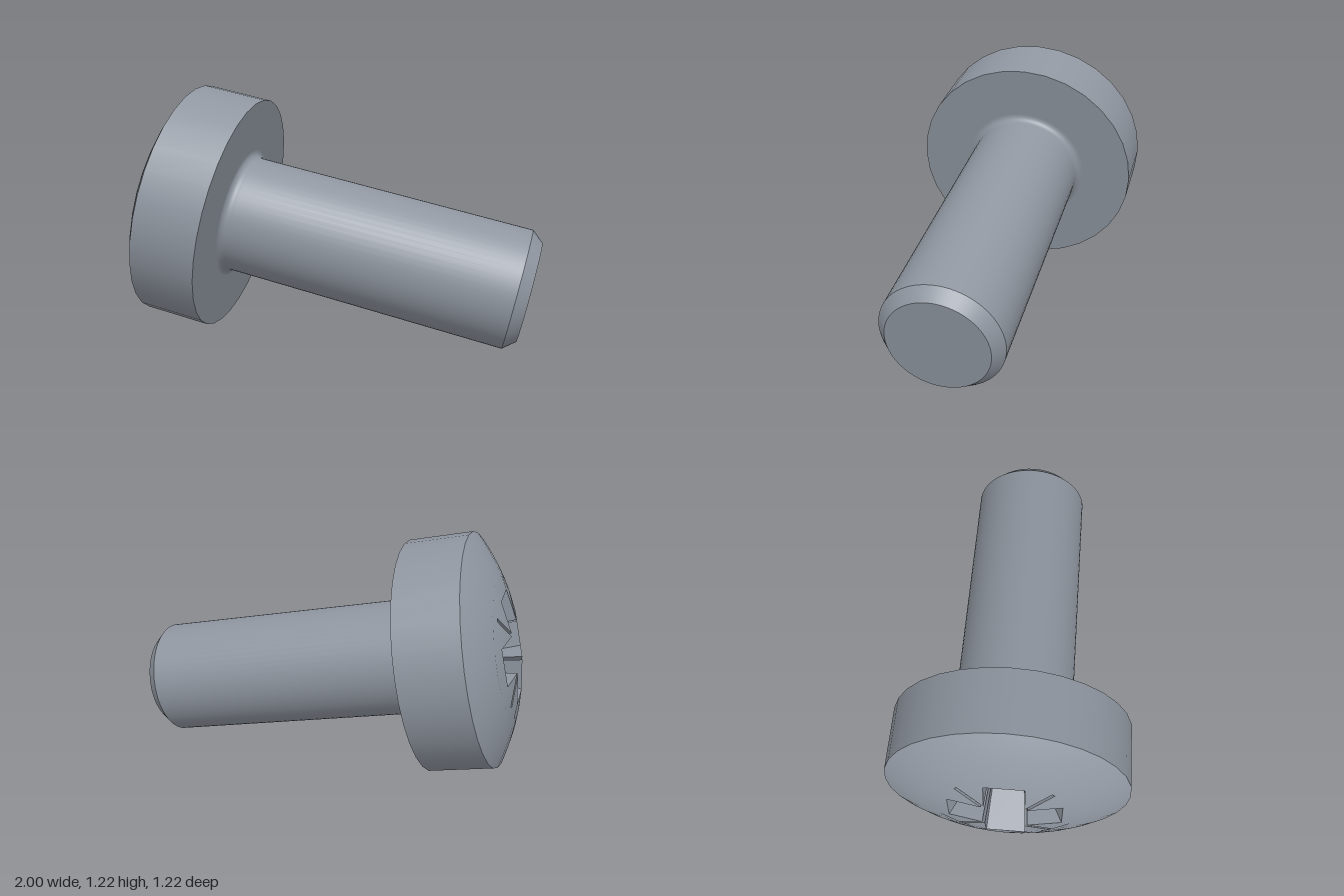
import * as THREE from 'three';

const HEAD_R = 0.59, SHAFT_R = 0.295, TIP_R = 0.245, FILLET = 0.035;
const UNDER = 1.485, RIM = 1.805, DOME_H = 0.156, INNER_R = 0.36, FLOOR = 1.69;
const SPHERE_R = (HEAD_R ** 2 + DOME_H ** 2) / (2 * DOME_H);
const domeY = (r) => RIM + DOME_H - SPHERE_R + Math.sqrt(SPHERE_R ** 2 - r * r);

// Cross outline with a thin diagonal slit between each pair of wings
function crossOutline(tip, half, slitEnd, slitHalf) {
  const e = slitHalf / Math.SQRT2, o = slitEnd / Math.SQRT2, s = slitHalf * Math.SQRT2;
  const quarter = [[tip, -half], [tip, half], [half + s, half], [o + e, o - e], [o - e, o + e], [half, half + s]];
  const points = [];
  for (let k = 0; k < 4; k++) {
    for (const [x, y] of quarter) {
      points.push(new THREE.Vector2(x, y).rotateAround(new THREE.Vector2(), k * Math.PI / 2));
    }
  }
  return points;
}

export function createModel() {
  const steel = new THREE.MeshStandardMaterial({ color: 0x8f96a0 });
  steel.name = 'steel grey';
  const model = new THREE.Group();
  model.name = 'screw';

  const add = (name, geometry) => {
    const mesh = new THREE.Mesh(geometry, steel);
    mesh.name = name;
    model.add(mesh);
  };
  const lathe = (name, profile, segments) =>
    add(name, new THREE.LatheGeometry(profile.map(([r, y]) => new THREE.Vector2(r, y)), segments));

  // Shaft, from the tip up, ending in a small fillet
  lathe('tipFace', [[0, 0], [TIP_R, 0]], 64);
  lathe('tipChamfer', [[TIP_R, 0], [SHAFT_R, 0.058]], 64);
  const shaft = [[SHAFT_R, 0.058], [SHAFT_R, UNDER - FILLET - 0.01]];
  for (let i = 0; i <= 8; i++) {
    const a = Math.PI - (i / 8) * Math.PI / 2;
    shaft.push([SHAFT_R + FILLET + FILLET * Math.cos(a), UNDER - FILLET + FILLET * Math.sin(a)]);
  }
  lathe('shaft', shaft, 64);

  // Head: underside, rim and outer ring of the dome
  lathe('headUnderside', [[SHAFT_R + FILLET, UNDER], [HEAD_R, UNDER]], 32);
  lathe('headRim', [[HEAD_R, UNDER], [HEAD_R, RIM]], 32);
  const dome = [];
  for (let i = 0; i <= 8; i++) {
    const r = HEAD_R + (INNER_R - HEAD_R) * i / 8;
    dome.push([r, domeY(r)]);
  }
  lathe('headDome', dome, 32);

  // Dome centre, pierced by the cross and raised onto the sphere
  const upper = crossOutline(0.27, 0.095, 0.315, 0.009);
  const lower = crossOutline(0.15, 0.075, 0.17, 0.007);
  const disc = [];
  for (let i = 0; i < 32; i++) {
    const a = i * Math.PI / 16;
    disc.push(new THREE.Vector2(INNER_R * Math.cos(a), INNER_R * Math.sin(a)));
  }
  const shape = new THREE.Shape(disc);
  shape.holes.push(new THREE.Path(upper));
  const centre = new THREE.ShapeGeometry(shape).rotateX(-Math.PI / 2);
  const pos = centre.attributes.position, normal = centre.attributes.normal;
  for (let i = 0; i < pos.count; i++) {
    const x = pos.getX(i), z = pos.getZ(i), r = Math.hypot(x, z);
    pos.setY(i, domeY(r));
    normal.setXYZ(i, x / SPHERE_R, Math.sqrt(1 - (r / SPHERE_R) ** 2), z / SPHERE_R);
  }
  add('headDomeCentre', centre);

  // Tapered walls and floor of the drive recess
  const walls = [];
  const top = (p) => [p.x, domeY(p.length()), -p.y];
  const bottom = (p) => [p.x, FLOOR, -p.y];
  upper.forEach((p, i) => {
    const j = (i + 1) % upper.length;
    const t0 = top(p), t1 = top(upper[j]), b0 = bottom(lower[i]), b1 = bottom(lower[j]);
    walls.push(...t0, ...t1, ...b1, ...t0, ...b1, ...b0);
  });
  const wallGeometry = new THREE.BufferGeometry();
  wallGeometry.setAttribute('position', new THREE.Float32BufferAttribute(walls, 3));
  wallGeometry.computeVertexNormals();
  add('recessWalls', wallGeometry);
  add('recessFloor', new THREE.ShapeGeometry(new THREE.Shape(lower)).rotateX(-Math.PI / 2).translate(0, FLOOR, 0));

  // Lean the screw so the tip points right, down and forward
  const axis = new THREE.Vector3(-1, 0.213, -0.213).normalize();
  const wing = new THREE.Vector3(0.213, 1, 0).normalize();
  const side = new THREE.Vector3().crossVectors(wing, axis);
  model.quaternion.setFromRotationMatrix(new THREE.Matrix4().makeBasis(wing, axis, side));
  model.position.set(0.93, 0.282, 0.335);

  const root = new THREE.Group();
  root.name = 'leaningScrew';
  root.add(model);
  return root;
}
